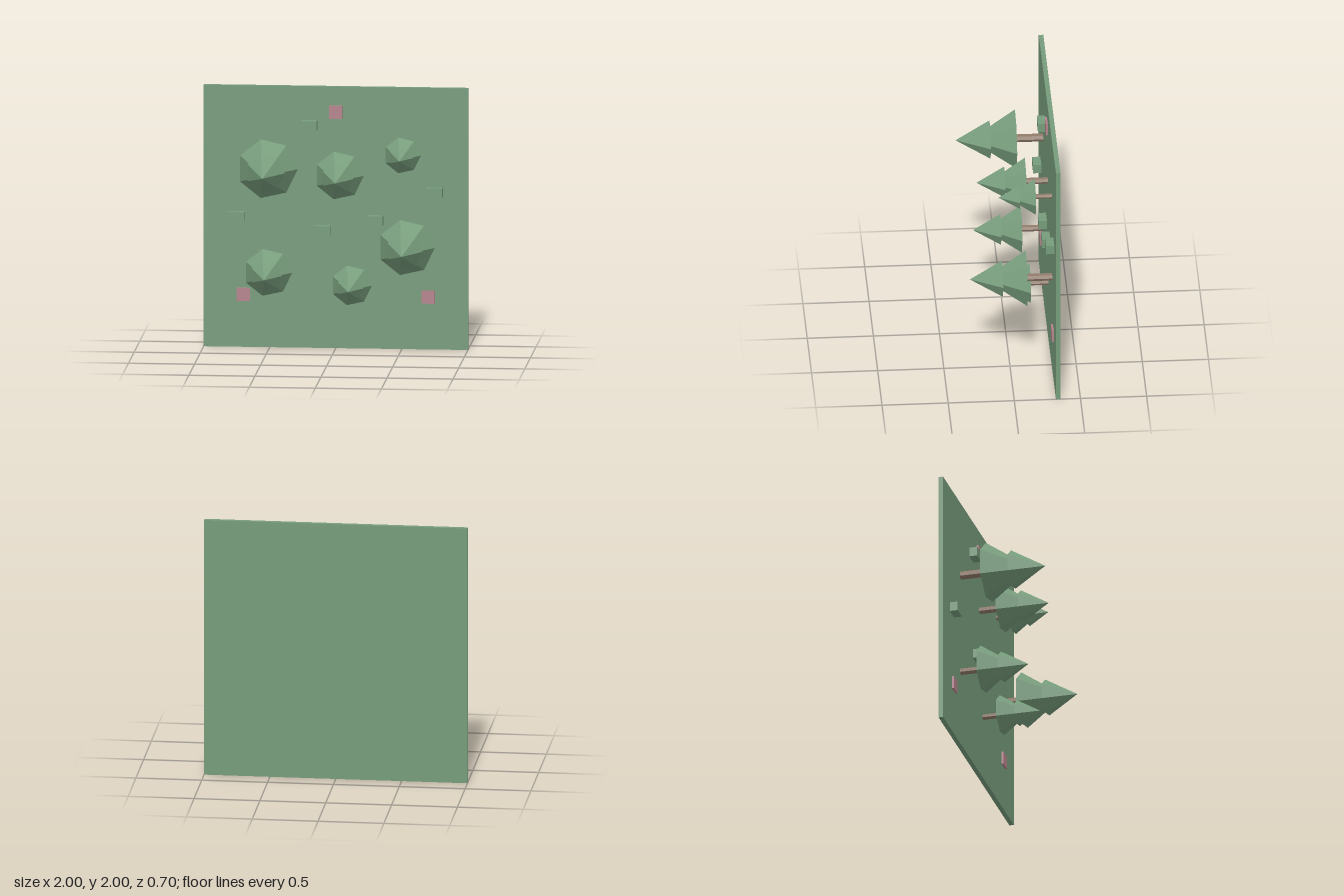
import * as THREE from 'three';

export function createModel() {
  const model = new THREE.Group();
  const material = (name, color) => {
    const m = new THREE.MeshStandardMaterial({ color });
    m.name = name;
    return m;
  };
  const green = material('leaf green', 0x769c7b);
  const pink = material('dusty pink', 0xb5838d);
  const brown = material('bark brown', 0x8d7867);

  const FLOOR = -0.315; // front surface of the slab

  function add(parent, name, geometry, mat, x, y, z) {
    const mesh = new THREE.Mesh(geometry, mat);
    mesh.name = name;
    mesh.position.set(x, y, z);
    parent.add(mesh);
    return mesh;
  }

  // Ground slab, standing upright
  add(model, 'ground', new THREE.BoxGeometry(2, 2, 0.035), green, 0, 1, FLOOR - 0.0175);

  // Faceted solid with seven sides, its axis along +z and its base at z = 0
  function facetedCone(topRadius, bottomRadius, height) {
    const cone = new THREE.CylinderGeometry(topRadius, bottomRadius, height, 7, 1, false, Math.PI / 2)
      .translate(0, height / 2, 0)
      .rotateX(Math.PI / 2)
      .toNonIndexed();
    cone.computeVertexNormals();
    return cone;
  }

  // Trees growing out of the ground: x, y, foliage radius
  const trees = [
    [-0.5, 1.4, 0.23], [0.04, 1.35, 0.187], [0.515, 1.503, 0.14],
    [0.55, 0.81, 0.216], [-0.5, 0.6, 0.184], [0.13, 0.505, 0.155],
  ];
  for (const [x, y, r] of trees) {
    const tree = new THREE.Group();
    tree.name = 'tree';
    tree.position.set(x, y, FLOOR);
    add(tree, 'trunk', facetedCone(r * 0.135, r * 0.135, r * 0.95), brown, 0, 0, 0);
    add(tree, 'lowerFoliage', facetedCone(0, r, r * 1.5), green, 0, 0, r * 0.91);
    add(tree, 'upperFoliage', facetedCone(0, r * 0.65, r * 1.13), green, 0, 0, r * 1.75);
    model.add(tree);
  }

  // Small box hedges
  const hedge = new THREE.BoxGeometry(0.12, 0.072, 0.062);
  for (const [x, y] of [[-0.2, 1.705], [0.75, 1.205], [-0.75, 1.003], [0.3, 0.985], [-0.1, 0.905]]) {
    add(model, 'hedge', hedge, green, x, y, FLOOR + 0.031);
  }

  // Flat square flower beds
  const bed = new THREE.BoxGeometry(0.1, 0.1, 0.015);
  for (const [x, y] of [[0, 1.805], [-0.7, 0.402], [0.7, 0.402]]) {
    add(model, 'flowerBed', bed, pink, x, y, FLOOR + 0.0075);
  }

  return model;
}
